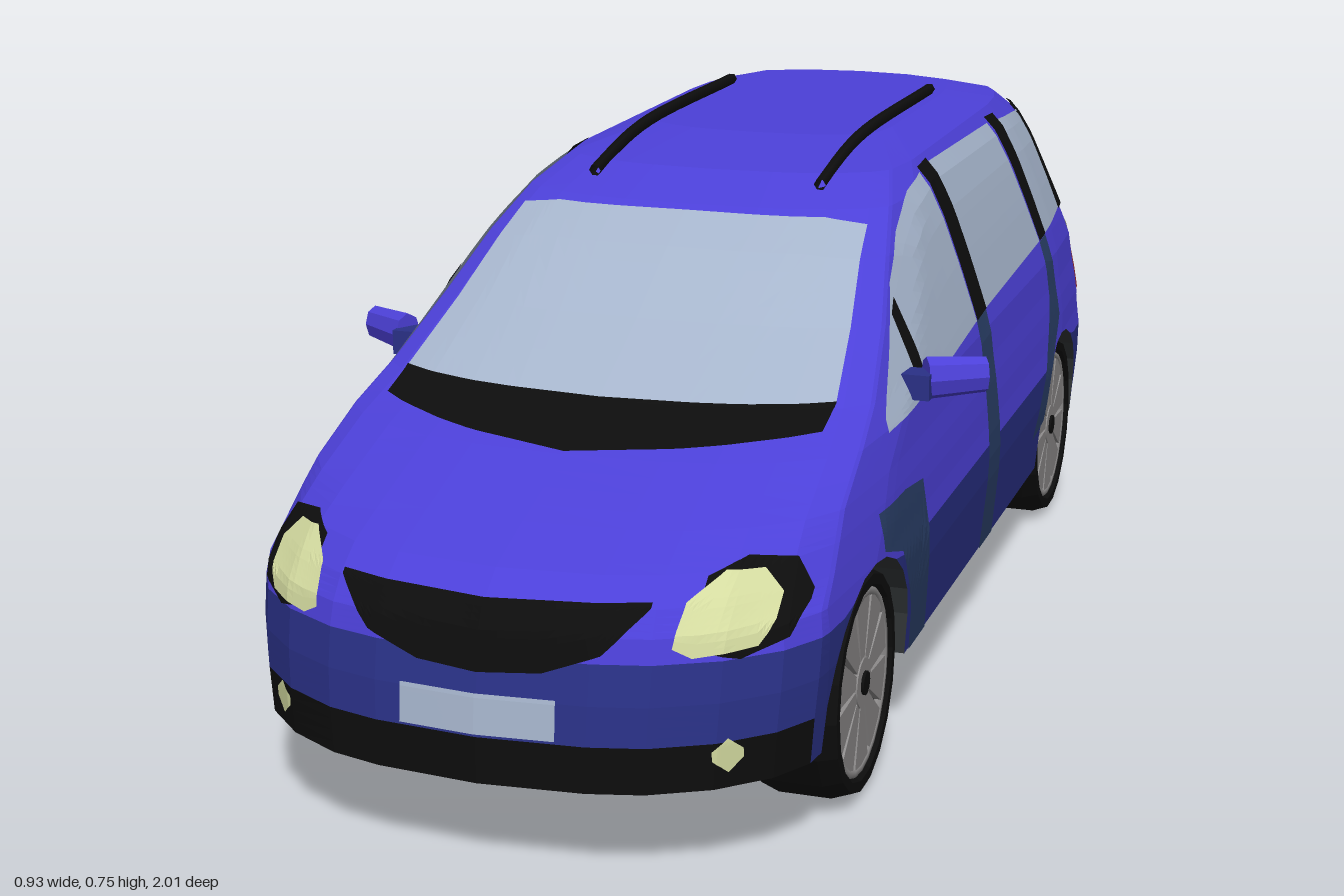
import * as THREE from 'three';

const paint = (name, color) => new THREE.MeshStandardMaterial({ name, color, side: THREE.DoubleSide });
const blue = paint('body blue', 0x4c40d8);
const navy = paint('lower body navy', 0x2a3187);
const slate = paint('slate blue panel', 0x2a3f68);
const black = paint('black trim', 0x0d0d0d);
const glass = paint('glass', 0xa6b5cc);
const lamp = paint('pale yellow lamp', 0xd4dba0);
const red = paint('red lamp', 0xd8404a);
const silver = paint('wheel silver', 0x8e8c8c);
const dark = paint('underbody grey', 0x34383a);

const lerp = THREE.MathUtils.lerp;

// Body plan outlines at rising heights: y, front z, rear z, half width, front corner depth
const levels = [
  [0.13, 1.0, -0.93, 0.385, 1], [0.19, 1.0, -0.94, 0.39, 1], [0.24, 0.995, -0.945, 0.394, 1],
  [0.29, 0.985, -0.945, 0.395, 1], [0.32, 0.978, -0.945, 0.391, 1], [0.35, 0.962, -0.943, 0.388, 1.15],
  [0.38, 0.925, -0.94, 0.384, 1.15], [0.41, 0.84, -0.935, 0.379, 0.9], [0.455, 0.7, -0.93, 0.373, 0.7],
  [0.49, 0.575, -0.92, 0.362, 0.55], [0.56, 0.43, -0.89, 0.338, 0.5], [0.63, 0.31, -0.86, 0.312, 0.45],
  [0.68, 0.2, -0.83, 0.288, 0.4], [0.712, 0.1, -0.79, 0.26, 0.4], [0.732, -0.1, -0.72, 0.19, 0.3],
];
// Corner rounding: fraction of half width, distance back from the end
const frontCorner = [[0, 0], [0.35, 0.012], [0.53, 0.03], [0.72, 0.07], [0.87, 0.125], [0.95, 0.18]];
const rearCorner = [[0.97, 0.14], [0.92, 0.08], [0.84, 0.04], [0.45, 0.01], [0, 0]];
const wheelZ = 0.61, archR = 0.175, archY = 0.145;
const arch = (zc) => Array.from({ length: 13 }, (_, i) => zc + archR * Math.cos((i / 12) * Math.PI));
const sideZ = [...arch(wheelZ), 0.3, 0.1, -0.1, -0.3, ...arch(-wheelZ)];
const F = frontCorner.length, N = F + sideZ.length + rearCorner.length, R = N - rearCorner.length;

const rings = levels.map(([y, zf, zr, w, k]) => {
  const a = zf - 0.18 * k - 0.01, b = zr + 0.145;
  return [
    ...frontCorner.map(([f, d]) => [f * w, zf - d * k]),
    ...sideZ.map((z) => {
      const f = z > 0.6 ? lerp(1, 0.96, (z - 0.6) / 0.185) : z < -0.6 ? lerp(1, 0.975, (-0.6 - z) / 0.185) : 1;
      return [f * w, y < 0.325 ? z : lerp(b, a, (z + 0.785) / 1.57)];
    }),
    ...rearCorner.map(([f, d]) => [f * w, zr + d]),
  ];
});

function ring(y) {
  let j = 0;
  while (j < levels.length - 2 && y > levels[j + 1][0]) j++;
  const t = THREE.MathUtils.clamp((y - levels[j][0]) / (levels[j + 1][0] - levels[j][0]), 0, 1);
  return rings[j].map((p, i) => [lerp(p[0], rings[j + 1][i][0], t), lerp(p[1], rings[j + 1][i][1], t)]);
}

// Lower edge of the body, rising over the wheels
function sill(z) {
  const d = Math.abs(Math.abs(z) - wheelZ);
  return d < archR - 1e-4 ? archY + Math.sqrt(archR * archR - d * d) : 0.13;
}

function bodyPoint(i, y) {
  const yc = Math.max(y, sill(ring(y)[i][1]));
  const [x, z] = ring(yc)[i];
  return [x, yc, z];
}

// Flat-faced mesh from a grid of points, optionally with its mirror image
function gridMesh(name, mat, grid, mirror = true) {
  const pos = [];
  const add = (s, ...pts) => pts.forEach((p) => pos.push(s * p[0], p[1], p[2]));
  for (let r = 0; r < grid.length - 1; r++)
    for (let c = 0; c < grid[r].length - 1; c++) {
      const a = grid[r][c], b = grid[r][c + 1], d = grid[r + 1][c], e = grid[r + 1][c + 1];
      add(1, a, b, e, a, e, d);
      if (mirror) add(-1, a, e, b, a, d, e);
    }
  const geo = new THREE.BufferGeometry();
  geo.setAttribute('position', new THREE.Float32BufferAttribute(pos, 3));
  geo.computeVertexNormals();
  return named(name, geo, mat);
}

function named(name, geo, mat) {
  const mesh = new THREE.Mesh(geo, mat);
  mesh.name = name;
  return mesh;
}

function flat(geo) {
  const g = geo.index ? geo.toNonIndexed() : geo;
  g.computeVertexNormals();
  return g;
}

function shell(name, mat, i0, i1, y0, y1) {
  const ys = levels.map((l) => l[0]).filter((y) => y >= y0 && y <= y1);
  const rows = [y0];
  for (let j = 1; j < ys.length; j++)
    for (let k = 1; k <= 4; k++) rows.push(lerp(ys[j - 1], ys[j], k / 4));
  return gridMesh(name, mat, rows.map((y) => {
    const row = [];
    for (let i = i1; i >= i0; i--) row.push(bodyPoint(i, y));
    return row;
  }));
}

function cap(name, mat, y) {
  const grid = [];
  for (let i = 0; i < N; i++) {
    const [x, h, z] = bodyPoint(i, y);
    grid.push([[-x, h, z], [x, h, z]]);
  }
  return gridMesh(name, mat, y > 0.5 ? grid.reverse() : grid, false);
}

// Point on the skin, found by z (side) or by x (front, rear), lifted along the normal
function skin(face, q, y, lift) {
  const r = ring(y), key = face === 'side' ? 1 : 0;
  const [i0, i1, step] = face === 'rear' ? [N - 1, R - 1, -1] : face === 'front' ? [0, F + 2, 1] : [0, N - 1, 1];
  let u = i1;
  for (let i = i0; i !== i1; i += step) {
    const a = r[i][key], b = r[i + step][key];
    if ((q - a) * (q - b) <= 0 && a !== b) { u = i + (step * (q - a)) / (b - a); break; }
  }
  const at = (s, h) => {
    const g = ring(h), i = Math.min(Math.floor(s), N - 2);
    return new THREE.Vector3(lerp(g[i][0], g[i + 1][0], s - i), h, lerp(g[i][1], g[i + 1][1], s - i));
  };
  const du = at(Math.min(u + 0.05, N - 1), y).sub(at(Math.max(u - 0.05, 0), y));
  const n = du.cross(at(u, y + 0.004).sub(at(u, y - 0.004))).normalize();
  const p = at(u, y);
  if (n.x * p.x + n.z * (p.z + 0.1) < 0) n.negate();
  if (q === 0 && key === 0) n.x = 0;
  return p.addScaledVector(n, lift).toArray();
}

function along(line, t) {
  const s = t * (line.length - 1), i = Math.min(Math.floor(s), line.length - 2);
  return [0, 1].map((k) => lerp(line[i][k], line[i + 1][k], s - i));
}

// Thin panel laid on the skin between a lower and an upper line
function panel(name, mat, face, lo, hi, lift = 0.004, nu = 18, nv = 10) {
  const grid = [];
  for (let v = 0; v <= nv; v++) {
    const row = [];
    for (let u = 0; u <= nu; u++) {
      const a = along(lo, u / nu), b = along(hi, u / nu);
      row.push(skin(face, lerp(a[0], b[0], v / nv), lerp(a[1], b[1], v / nv), lift));
    }
    grid.push(face === 'front' ? row : row.reverse());
  }
  return gridMesh(name, mat, grid);
}

function createWheel() {
  const g = new THREE.Group();
  const profile = [[0.12, -0.06], [0.144, -0.06], [0.153, -0.035], [0.153, 0.035], [0.144, 0.06], [0.13, 0.06], [0.124, 0.045]];
  const tyre = new THREE.LatheGeometry(profile.map((p) => new THREE.Vector2(...p)), 18).rotateZ(-Math.PI / 2);
  g.add(named('tyre', flat(tyre), black));
  g.add(named('wheelDisc', flat(new THREE.CylinderGeometry(0.126, 0.126, 0.09, 18).rotateZ(-Math.PI / 2)), black));
  g.add(named('rim', new THREE.TorusGeometry(0.12, 0.008, 6, 24).rotateY(Math.PI / 2).translate(0.048, 0, 0), silver));
  const wedge = new THREE.Shape([[-0.008, 0.03], [0.008, 0.03], [0.032, 0.118], [-0.032, 0.118]].map((p) => new THREE.Vector2(...p)));
  for (let i = 0; i < 10; i++) {
    const geo = new THREE.ExtrudeGeometry(wedge, { depth: 0.01, bevelEnabled: false });
    g.add(named('spoke', geo.rotateZ((i * Math.PI) / 5).rotateY(Math.PI / 2).translate(0.044, 0, 0), silver));
  }
  g.add(named('hub', new THREE.CylinderGeometry(0.034, 0.034, 0.02, 12).rotateZ(Math.PI / 2).translate(0.046, 0, 0), silver));
  g.add(named('hubCap', new THREE.CylinderGeometry(0.016, 0.016, 0.01, 10).rotateZ(Math.PI / 2).translate(0.055, 0, 0), black));
  return g;
}

export function createModel() {
  const car = new THREE.Group();
  car.name = 'car';

  // Shell
  car.add(
    shell('upperBody', blue, 0, N - 1, 0.29, 0.732), cap('roof', blue, 0.732), cap('floor', dark, 0.13),
    shell('lowerSides', navy, F - 1, R, 0.13, 0.29),
    shell('frontLip', black, 0, F - 1, 0.13, 0.19), shell('frontBumper', navy, 0, F - 1, 0.19, 0.29),
    shell('rearLip', black, R, N - 1, 0.13, 0.19), shell('rearApron', navy, R, N - 1, 0.19, 0.29));

  // Side glass, pillars and darker panels
  car.add(
    panel('frontSideWindow', glass, 'side', [[0.48, 0.453], [0.2, 0.463], [-0.035, 0.478]],
      [[0.47, 0.468], [0.36, 0.535], [0.26, 0.605], [0.17, 0.65], [0.07, 0.683], [-0.035, 0.696]]),
    panel('windowDivider', black, 'side', [[0.33, 0.46], [0.29, 0.46]], [[0.31, 0.568], [0.28, 0.585]], 0.006),
    panel('middlePillar', black, 'side', [[-0.035, 0.478], [-0.1, 0.482]], [[-0.04, 0.702], [-0.1, 0.705]], 0.005),
    panel('middleSideWindow', glass, 'side', [[-0.1, 0.482], [-0.52, 0.495]], [[-0.1, 0.7], [-0.48, 0.694]]),
    panel('rearPillar', black, 'side', [[-0.52, 0.495], [-0.57, 0.498]], [[-0.485, 0.702], [-0.54, 0.7]], 0.005),
    panel('rearSideWindow', glass, 'side', [[-0.57, 0.498], [-0.75, 0.51]], [[-0.54, 0.69], [-0.71, 0.68]]),
    panel('cornerPillar', black, 'side', [[-0.73, 0.507], [-0.82, 0.515]], [[-0.69, 0.69], [-0.775, 0.685]], 0.005),
    panel('frontArchPanel', slate, 'side', [[0.58, 0.325], [0.5, 0.3], [0.44, 0.2], [0.43, 0.135]],
      [[0.58, 0.375], [0.46, 0.372], [0.37, 0.36], [0.34, 0.135]]),
    panel('doorSeamPanel', slate, 'side', [[0.0, 0.135], [-0.085, 0.135]], [[-0.035, 0.478], [-0.1, 0.482]]),
    panel('rearArchPanel', slate, 'side', [[-0.36, 0.2], [-0.45, 0.3], [-0.52, 0.4], [-0.52, 0.493]],
      [[-0.445, 0.21], [-0.49, 0.285], [-0.58, 0.36], [-0.57, 0.497]]));

  // Front details
  car.add(
    panel('windscreen', glass, 'front', [[0, 0.492], [0.305, 0.492]], [[0, 0.672], [0.2, 0.67], [0.258, 0.662]]),
    panel('cowl', black, 'front', [[0, 0.455], [0.15, 0.462], [0.305, 0.472]], [[0, 0.492], [0.305, 0.494]], 0.005),
    panel('grille', black, 'front', [[0, 0.27], [0.08, 0.275], [0.15, 0.3], [0.2, 0.35]], [[0, 0.352], [0.2, 0.355]]),
    panel('frontPlate', glass, 'front', [[0, 0.195], [0.1, 0.195]], [[0, 0.245], [0.1, 0.245]], 0.006),
    panel('headlampSurround', black, 'front', [[0.25, 0.305], [0.3, 0.29], [0.345, 0.305], [0.357, 0.335]],
      [[0.25, 0.375], [0.285, 0.388], [0.335, 0.38], [0.357, 0.345]]),
    panel('headlamp', lamp, 'front', [[0.228, 0.308], [0.25, 0.296], [0.315, 0.302], [0.33, 0.325]],
      [[0.235, 0.352], [0.268, 0.378], [0.305, 0.375], [0.33, 0.35]], 0.007),
    panel('fogLamp', lamp, 'front', [[0.275, 0.17], [0.29, 0.153], [0.305, 0.17]], [[0.275, 0.182], [0.29, 0.197], [0.305, 0.182]], 0.006));

  // Rear details
  car.add(
    panel('tailgate', navy, 'rear', [[0, 0.27], [0.28, 0.27]], [[0, 0.47], [0.28, 0.47]], 0.003),
    panel('rearWindowFrame', black, 'rear', [[0, 0.485], [0.2, 0.49], [0.3, 0.535]], [[0, 0.695], [0.22, 0.69], [0.285, 0.62]]),
    panel('rearWindow', glass, 'rear', [[0, 0.503], [0.19, 0.508], [0.275, 0.545]], [[0, 0.68], [0.2, 0.676], [0.262, 0.61]], 0.007),
    panel('tailLamp', red, 'side', [[-0.835, 0.342], [-0.922, 0.342]], [[-0.85, 0.42], [-0.912, 0.42]], 0.006),
    panel('tailLampTop', lamp, 'side', [[-0.85, 0.42], [-0.912, 0.42]], [[-0.855, 0.465], [-0.9, 0.465]], 0.006),
    panel('rearPlate', glass, 'rear', [[0, 0.255], [0.09, 0.255]], [[0, 0.295], [0.09, 0.295]], 0.007),
    panel('tailgateLock', black, 'rear', [[0, 0.425], [0.008, 0.425]], [[0, 0.44], [0.008, 0.44]], 0.006, 2, 2));
  const plan = [[0.345, 0.85], [0.335, 0.93], [0.2, 1], [-0.2, 1], [-0.335, 0.93], [-0.345, 0.85]];
  const bumper = new THREE.ExtrudeGeometry(new THREE.Shape(plan.map((p) => new THREE.Vector2(...p))), { depth: 0.08, bevelEnabled: false });
  car.add(named('rearBumper', bumper.rotateX(-Math.PI / 2).translate(0, 0.16, 0), blue));

  // Mirrors, roof rails, wheels and axles
  for (const s of [1, -1]) {
    const mirror = named('mirror', flat(new THREE.CylinderGeometry(0.025, 0.03, 0.085, 8).rotateZ(-Math.PI / 2).scale(1, 1, 0.7)), blue);
    mirror.position.set(s * 0.42, 0.492, 0.315);
    mirror.rotation.y = s > 0 ? 0.55 : Math.PI - 0.55;
    const arm = named('mirrorArm', new THREE.BoxGeometry(0.05, 0.035, 0.04), navy);
    arm.position.set(s * 0.37, 0.485, 0.345);
    const path = new THREE.CatmullRomCurve3([[0.705, 0.13], [0.73, 0], [0.741, -0.12], [0.741, -0.52]].map(([y, z]) => new THREE.Vector3(s * 0.172, y, z)));
    car.add(mirror, arm, named('roofRail', new THREE.TubeGeometry(path, 16, 0.009, 6), black));
    for (const z of [wheelZ, -wheelZ]) {
      const wheel = createWheel();
      wheel.name = z > 0 ? 'frontWheel' : 'rearWheel';
      wheel.position.set(s * 0.32, 0.155, z);
      wheel.rotation.y = s > 0 ? 0 : Math.PI;
      car.add(wheel);
    }
  }
  for (const z of [wheelZ, -wheelZ])
    car.add(named('axle', new THREE.CylinderGeometry(0.022, 0.022, 0.56, 10).rotateZ(Math.PI / 2).translate(0, 0.155, z), dark));
  return car;
}
